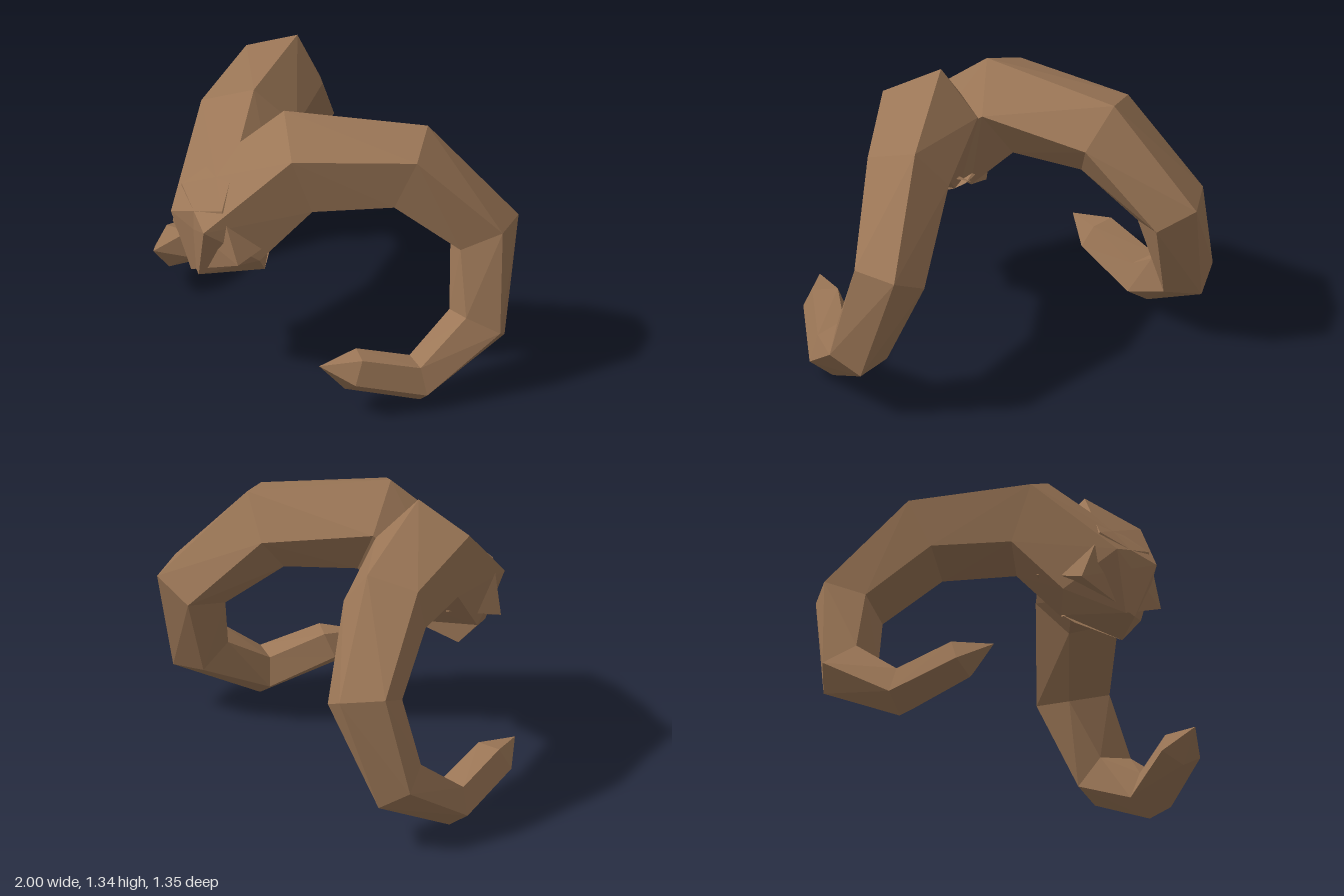
import * as THREE from 'three';

const PHI = (1 + Math.sqrt(5)) / 2;

// Three neighbouring corners of each regular five-sided ring, from root to tip
const RINGS = [
  [[-0.26, 0.69, 0.57], [0.03, 0.555, 0.63], [0.2, 0.575, 0.37]],
  [[-0.16, 0.945, 0.59], [0.13, 0.84, 0.675], [0.255, 0.67, 0.44]],
  [[0.12, 1.34, 0.2], [0.36, 1.215, 0.33], [0.4, 0.935, 0.24]],
  [[0.52, 1.26, -0.345], [0.68, 1.19, -0.165], [0.615, 0.95, -0.08]],
  [[0.79, 0.79, -0.675], [0.91, 0.805, -0.495], [0.8, 0.72, -0.33]],
  [[0.89, 0.24, -0.52], [1.0, 0.33, -0.415], [0.9, 0.41, -0.29]],
  [[0.82, 0.003, -0.08], [0.925, 0.085, -0.045], [0.88, 0.215, -0.04]],
  [[0.7, 0.125, 0.27], [0.8, 0.19, 0.28], [0.78, 0.298, 0.225]],
];
const TIP = [0.66, 0.27, 0.39];

// Complete a regular pentagon from three corners (diagonal = PHI * side)
function pentagon([p0, p1, p2]) {
  const p3 = p0.map((v, k) => v + PHI * (p2[k] - p1[k]));
  const p4 = p2.map((v, k) => v + PHI * (p0[k] - p1[k]));
  return [p0, p1, p2, p3, p4];
}

function hornGeometry(side) {
  const pos = [];
  const tri = (a, b, c) => {
    const order = side > 0 ? [a, b, c] : [a, c, b];
    for (const p of order) pos.push(p[0] * side, p[1], p[2]);
  };
  const rings = RINGS.map(pentagon);
  // Walls between rings
  for (let r = 0; r < rings.length - 1; r++) {
    const A = rings[r], B = rings[r + 1];
    for (let i = 0; i < 5; i++) {
      const j = (i + 1) % 5;
      tri(A[i], A[j], B[j]);
      tri(A[i], B[j], B[i]);
    }
  }
  // Pointed tip
  const last = rings[rings.length - 1];
  for (let i = 0; i < 5; i++) tri(last[i], last[(i + 1) % 5], TIP);
  // Flat root cap
  const root = rings[0];
  for (let i = 1; i < 4; i++) tri(root[0], root[i + 1], root[i]);

  const geo = new THREE.BufferGeometry();
  geo.setAttribute('position', new THREE.Float32BufferAttribute(pos, 3));
  geo.computeVertexNormals();
  return geo;
}

export function createModel() {
  const group = new THREE.Group();
  group.name = 'curledHorns';
  const horn = new THREE.MeshStandardMaterial({ color: 0x9c7757, flatShading: true });
  horn.name = 'hornBrown';
  for (const [name, side] of [['leftHorn', 1], ['rightHorn', -1]]) {
    const mesh = new THREE.Mesh(hornGeometry(side), horn);
    mesh.name = name;
    group.add(mesh);
  }
  return group;
}
